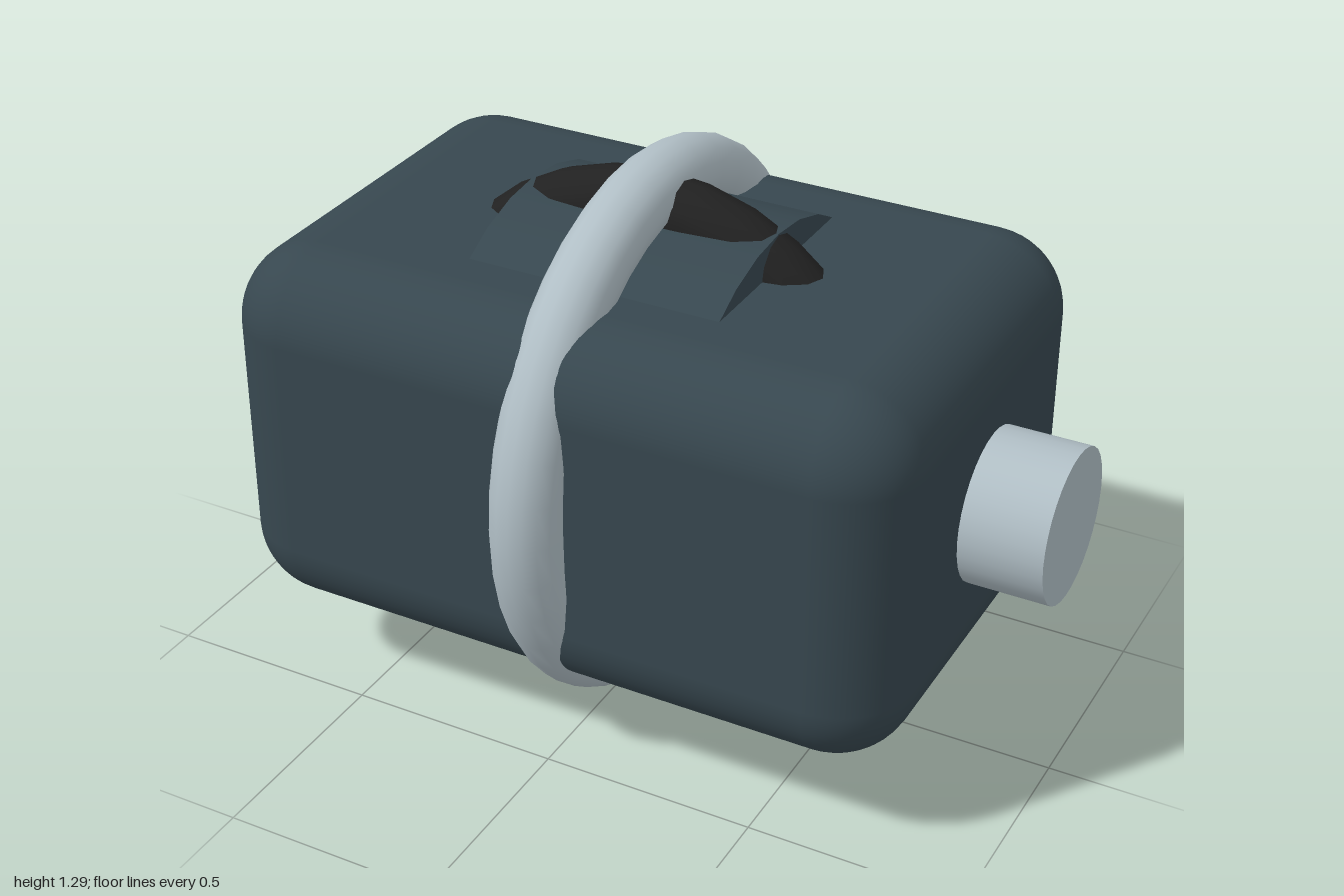
import * as THREE from 'three';
import { RoundedBoxGeometry } from 'three/addons/geometries/RoundedBoxGeometry.js';

export function createModel() {
  const model = new THREE.Group();
  const centreY = 0.643;
  const slate = new THREE.MeshStandardMaterial({ color: 0x37474f });
  const pale = new THREE.MeshStandardMaterial({ color: 0xb0bec5 });
  const black = new THREE.MeshStandardMaterial({ color: 0x212121 });

  function add(name, geometry, material) {
    const mesh = new THREE.Mesh(geometry, material);
    mesh.name = name;
    mesh.position.y = centreY;
    model.add(mesh);
    return mesh;
  }

  // Rounded housing
  add('housing', new RoundedBoxGeometry(1.62, 0.88, 1.08, 6, 0.18), slate);

  // Drum running along x, showing through the top and bottom of the housing
  add('drum', new THREE.CylinderGeometry(0.52, 0.52, 0.6, 32).rotateZ(Math.PI / 2), slate);

  // Axle with both ends exposed
  add('axle', new THREE.CylinderGeometry(0.175, 0.175, 2, 32).rotateZ(Math.PI / 2), pale);

  // Pale ring around the axle
  add('outerRing', new THREE.TorusGeometry(0.563, 0.08, 16, 40).rotateY(Math.PI / 2), pale);

  // Dark ring at right angles to it
  add('crossRing', new THREE.TorusGeometry(0.52, 0.08, 12, 32), black);

  return model;
}
